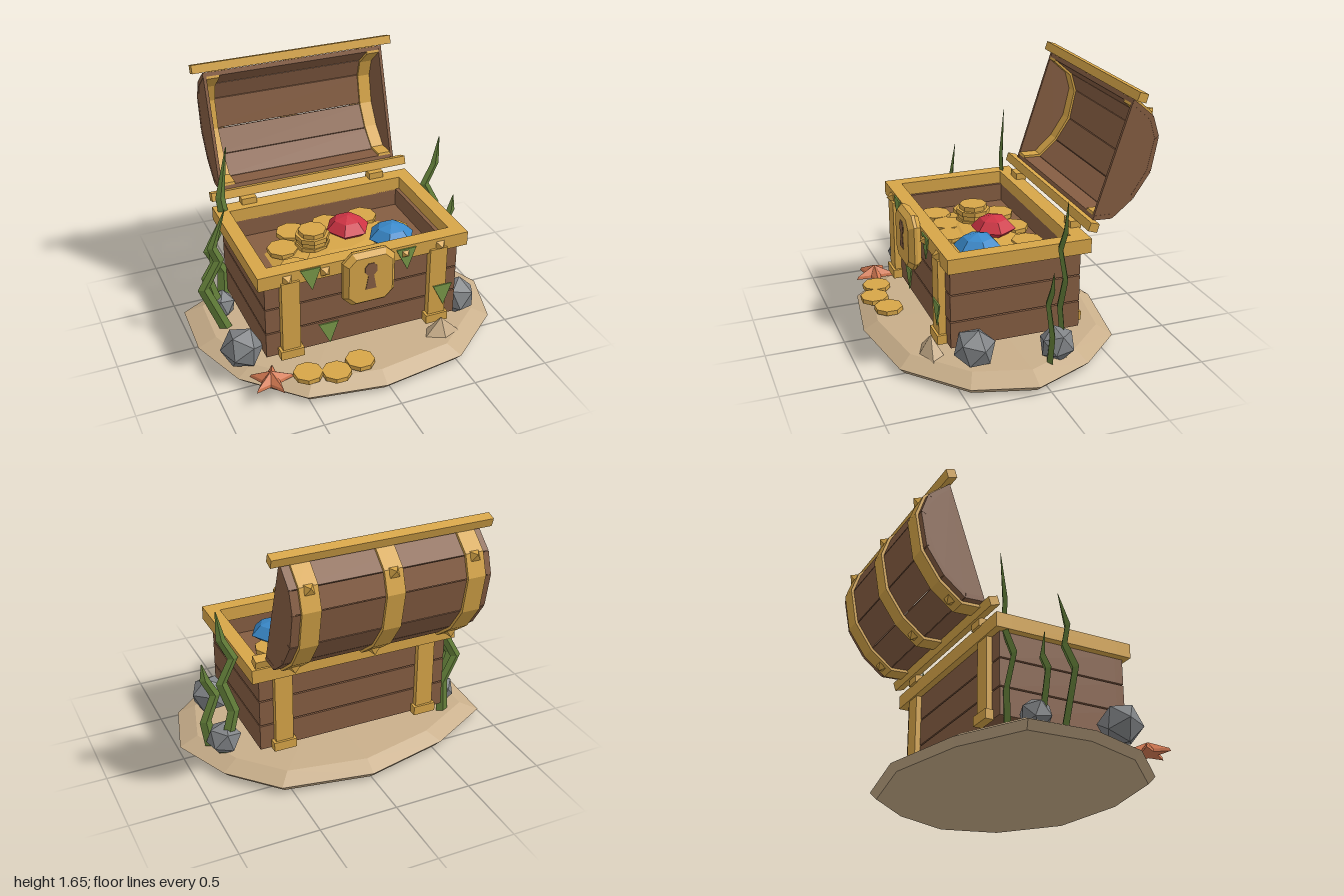
import * as THREE from 'three';

const mat = (name, color) => Object.assign(new THREE.MeshStandardMaterial({ color, flatShading: true }), { name });

// Closed solid through rings of [x, y, z]; rings run from low to high
function loft(rings) {
  const pos = [], n = rings[0].length;
  const mid = r => [0, 1, 2].map(k => r.reduce((s, p) => s + p[k], 0) / n);
  const tri = (...p) => p.forEach(q => pos.push(...q));
  const low = rings[0], high = rings[rings.length - 1], cl = mid(low), ch = mid(high);
  for (let i = 0; i < n; i++) {
    const j = (i + 1) % n;
    tri(cl, low[i], low[j]);
    tri(ch, high[j], high[i]);
    for (let r = 0; r + 1 < rings.length; r++) {
      const a = rings[r], b = rings[r + 1];
      tri(a[i], b[i], b[j]);
      tri(a[i], b[j], a[j]);
    }
  }
  const g = new THREE.BufferGeometry();
  g.setAttribute('position', new THREE.Float32BufferAttribute(pos, 3));
  return g;
}

// Ring of n points with alternating radius factor
const ring = (n, rx, rz, y, turn = 0, alt = 1) => Array.from({ length: n }, (_, i) => {
  const a = turn + i * 2 * Math.PI / n, f = i % 2 ? alt : 1;
  return [Math.cos(a) * rx * f, y, Math.sin(a) * rz * f];
});

export function createModel() {
  const root = new THREE.Group();
  root.name = 'treasureChest';
  const wood = mat('wood', 0x855d42), gold = mat('gold', 0xd6a548), sand = mat('sand', 0xc8ae8a);
  const stone = mat('stone', 0x808386), weed = mat('seaweed', 0x64803a), moss = mat('moss', 0x789848);
  const red = mat('ruby', 0xcf3444), blue = mat('sapphire', 0x3a8acb), orange = mat('starfish', 0xd87c54);

  const add = (name, geo, m, x = 0, y = 0, z = 0) => {
    const g = geo.index ? geo.toNonIndexed() : geo;
    g.computeVertexNormals();
    const o = new THREE.Mesh(g, m);
    o.name = name;
    o.position.set(x, y, z);
    root.add(o);
    return o;
  };
  // Box given by its limits
  const box = (name, m, x0, x1, y0, y1, z0, z1) =>
    add(name, new THREE.BoxGeometry(x1 - x0, y1 - y0, z1 - z0), m, (x0 + x1) / 2, (y0 + y1) / 2, (z0 + z1) / 2);
  const up = new THREE.Vector3(0, 1, 0);
  const stud = (x, y, z, dy, dz) => add('stud', new THREE.ConeGeometry(0.042, 0.04, 4).rotateY(Math.PI / 4), gold, x, y, z)
    .quaternion.setFromUnitVectors(up, new THREE.Vector3(0, dy, dz).normalize());

  // Sandy island
  const shore = [[1, .07], [.89, .46], [.52, .78], [-.03, .865], [-.52, .79], [-.85, .46], [-.99, .07],
    [-.97, -.34], [-.55, -.57], [0, -.7], [.57, -.6], [.84, -.31]];
  const slice = (s, y) => shore.map(([x, z]) => [x * s, y, .08 + (z - .08) * s]);
  add('island', loft([slice(.95, 0), slice(1, .045), slice(.88, .1), slice(.4, .115)]), sand);

  // Chest body: three rows of planks with gaps
  for (let i = 0; i < 3; i++) {
    const y0 = .175 + i * .175, y1 = y0 + .166;
    box('frontPlank', wood, -.67, .605, y0, y1, .43, .485);
    box('backPlank', wood, -.67, .605, y0, y1, -.345, -.29);
    box('rightPlank', wood, -.67, -.61, y0, y1, -.29, .43);
    box('leftPlank', wood, .545, .605, y0, y1, -.29, .43);
  }
  box('chestBottom', wood, -.61, .545, .175, .21, -.29, .43);
  box('innerFloor', wood, -.61, .545, .53, .57, -.29, .43);

  // Rim
  box('frontRim', gold, -.717, .66, .685, .777, .42, .515);
  box('backRim', gold, -.717, .66, .685, .777, -.39, -.29);
  box('rightRim', gold, -.717, -.63, .685, .777, -.29, .42);
  box('leftRim', gold, .57, .66, .685, .777, -.29, .42);

  // Straps, feet and hinges
  for (const x of [-.52, .457]) {
    box('frontStrap', gold, x - .058, x + .058, .17, .71, .48, .53);
    box('frontFoot', gold, x - .075, x + .075, .17, .23, .48, .545);
    box('backStrap', gold, x - .058, x + .058, .17, .71, -.38, -.34);
    box('backFoot', gold, x - .075, x + .075, .17, .23, -.395, -.34);
  }
  for (const x of [-.48, .42]) box('hinge', gold, x - .05, x + .05, .77, .82, -.405, -.335);
  for (const x of [-.535, -.295, .23, .47]) stud(x, .727, .533, 0, 1);

  // Lock with keyhole
  const plate = (w, h, c, d) => [[w, h - c], [w - c, h], [c - w, h], [-w, h - c], [-w, c - h], [c - w, -h], [w - c, -h], [w, c - h]]
    .map(([x, z]) => [x, d, z]);
  add('lock', loft([plate(.15, .165, .055, .51), plate(.17, .183, .06, .54), plate(.17, .183, .06, .56), plate(.142, .155, .048, .592)])
    .rotateX(Math.PI / 2), gold, -.03, .652);
  const hole = new THREE.Shape([[-.035, -.075], [.035, -.075], [.018, .02], [.04, .045], [.04, .08], [.018, .105],
    [-.018, .105], [-.04, .08], [-.04, .045], [-.018, .02]].map(p => new THREE.Vector2(...p)));
  add('keyhole', new THREE.ExtrudeGeometry(hole, { depth: .006, bevelEnabled: false }), wood, -.03, .66, .59);

  // Open lid: sections in (z, y), extruded along x
  const arc = [[-.425, .86], [-.553, .855], [-.69, .965], [-.8, 1.125], [-.842, 1.345], [-.8, 1.475], [-.665, 1.59]]
    .map(p => new THREE.Vector2(...p));
  const hub = new THREE.Vector2(-.545, 1.225);
  const grow = (p, d) => p.clone().add(p.clone().sub(hub).setLength(d));
  const sweep = (name, m, pts, width, x) => add(name, new THREE.ExtrudeGeometry(new THREE.Shape(pts),
    { depth: width, bevelEnabled: false }).rotateY(-Math.PI / 2).translate(width / 2, 0, 0), m, x);
  const strip = (pts, d0, d1) => [...pts.map(p => grow(p, d1)), ...pts.map(p => grow(p, d0)).reverse()];
  for (let i = 0; i < 6; i++) {
    const ends = [.015, .985].map(t => arc[i].clone().lerp(arc[i + 1], t));
    sweep('lidPlank', wood, strip(ends, -.03, 0), 1.235, -.03);
  }
  for (const s of [-1, 1]) {
    sweep('lidEnd', wood, arc.map(p => grow(p, -.004)), .02, -.03 + s * .606);
    sweep('lidInnerBand', gold, strip(arc, -.045, -.028), .085, -.03 + s * .553);
  }
  for (const x of [-.545, -.03, .48]) {
    sweep('lidBand', gold, strip(arc, -.002, .018), .115, x);
    stud(x, 1.48, -.835, .5, -.85);
    stud(x, .86, -.61, -.85, -.5);
  }
  for (const [y, z] of [[.842, -.405], [1.614, -.688]])
    add('lidBeam', new THREE.BoxGeometry(1.37, .055, .06), gold, -.032, y, z).rotation.x = -.31;

  // Treasure
  add('goldMound', loft([ring(9, .49, .31, .57), ring(9, .42, .26, .605), ring(9, .2, .13, .64)]), gold, -.03, 0, .07);
  const coin = (x, y, z, r = .1) => add('coin', new THREE.CylinderGeometry(r, r, .03, 8).rotateY(x * 9), gold, x, y, z);
  for (const [x, z] of [[-.27, -.14], [-.02, -.15], [.23, -.15], [-.39, .03], [-.39, .26], [-.2, .24], [-.02, .28], [.22, .28], [.36, .08]])
    coin(x, .62, z);
  [.11, .1, .11, .09].forEach((r, i) => coin(-.2, .64 + i * .03, .06, r));
  for (const [x, z] of [[-.47, .665], [-.305, .72], [-.13, .67]]) coin(x, .125, z, .092);
  const gem = (name, m, x, y, z, r) => add(name, loft([ring(6, .02, .02, -.1), ring(6, r, r, 0),
    ring(6, r * .6, r * .6, .06), ring(6, .005, .005, .085)]), m, x, y, z);
  gem('ruby', red, .06, .675, .015, .145);
  gem('sapphire', blue, .285, .665, .2, .152);

  // Moss scraps
  const scrap = new THREE.Shape([[-.065, .07], [.01, -.08], [.065, .07]].map(p => new THREE.Vector2(...p)));
  for (const [x, y, z] of [[-.39, .7, .515], [.235, .69, .515], [-.265, .255, .485], [.49, .37, .53]])
    add('moss', new THREE.ExtrudeGeometry(scrap, { depth: .009, bevelEnabled: false }), moss, x, y, z);

  // Zigzag seaweed blades: [x, y] paths
  const blade = (z, path) => add('seaweed', loft(path.map(([x, y], i) => {
    const w = i === path.length - 1 ? .003 : .042 - .016 * i / path.length;
    return ring(4, w, w * .45, y).map(p => [p[0] + x, p[1], p[2]]);
  })), weed, 0, 0, z);
  blade(0, [[-.78, .1], [-.91, .43], [-.8, .62], [-.84, .72], [-.745, .975]]);
  blade(-.14, [[-.76, .1], [-.82, .3], [-.85, .42], [-.79, .52], [-.82, .66]]);
  blade(-.315, [[-.7, .1], [-.69, .32], [-.78, .5], [-.66, .72], [-.68, .88], [-.625, 1.225]]);
  blade(-.17, [[.78, .1], [.71, .39], [.78, .6], [.7, .76], [.77, .9], [.795, 1.095]]);
  blade(-.06, [[.83, .1], [.86, .28], [.79, .46], [.85, .58], [.865, .695]]);

  // Rocks
  for (const [x, y, z, r, t] of [[-.79, .2, .365, .135, .4], [-.76, .17, -.17, .1, 1.2], [.77, .18, -.13, .115, 2.1], [.69, .2, .365, .13, 2.9]])
    add('rock', new THREE.IcosahedronGeometry(r), stone, x, y, z).rotation.set(t * .3, t, 0);

  // Starfish and little sand heap
  add('starfish', loft([ring(10, .14, .14, .1, .05, .42), ring(10, .13, .13, .12, .05, .42), ring(10, .005, .005, .175)]), orange, -.69, 0, .62);
  add('sandHeap', loft([ring(5, .135, .08, .09, .3), ring(5, .004, .004, .21)]), sand, .475, 0, .57);

  return root;
}
